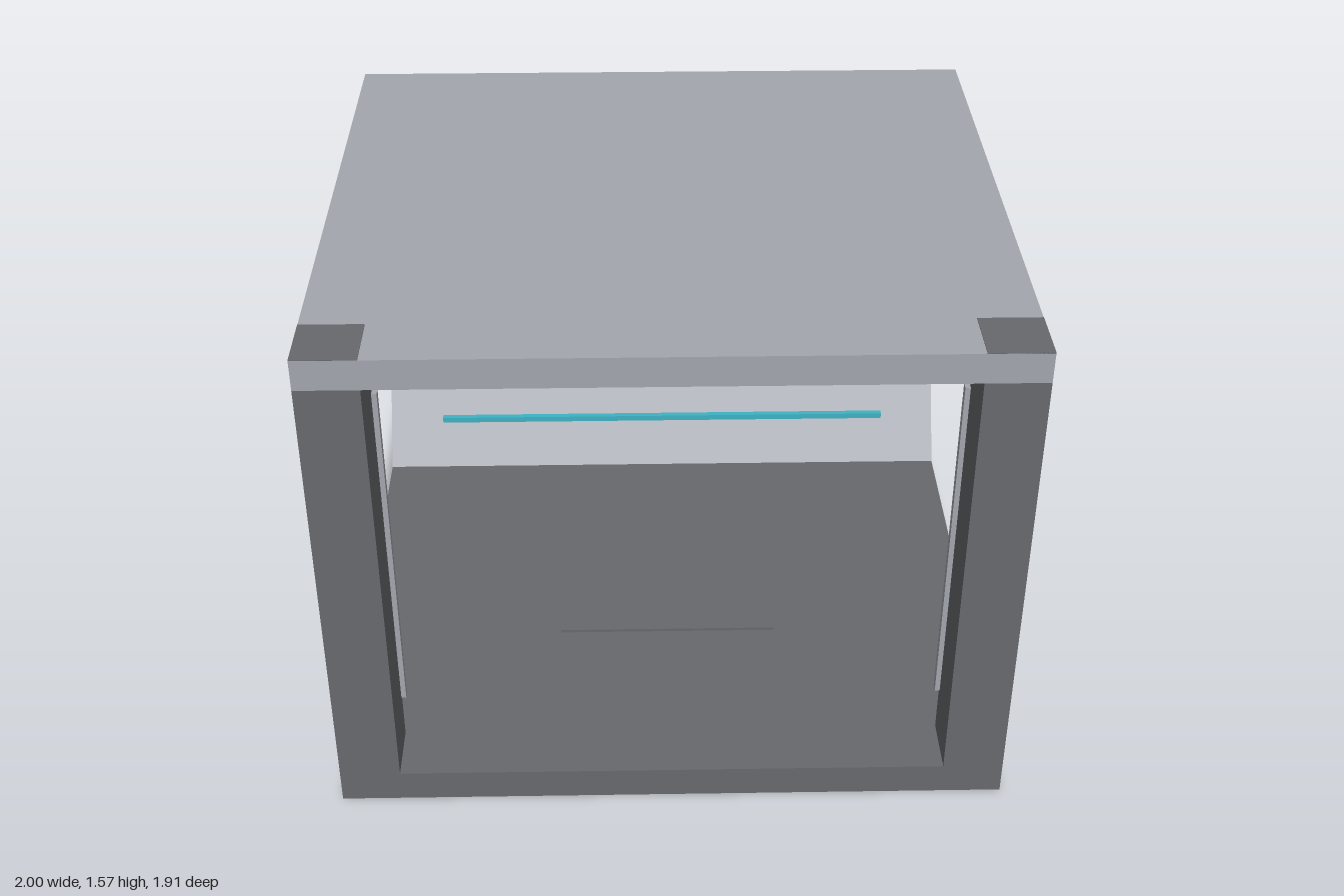
import * as THREE from 'three';

const mat = (name, color) => {
  const m = new THREE.MeshStandardMaterial({ color });
  m.name = name;
  return m;
};

export function createModel() {
  const panel = mat('light grey panel', 0xa3a6ae);
  const frame = mat('dark grey frame', 0x67696d);
  const orange = mat('orange', 0xd6923f);
  const teal = mat('teal', 0x3fb2c4);

  const model = new THREE.Group();
  model.name = 'openShelter';

  const add = (name, geometry, material) => {
    const mesh = new THREE.Mesh(geometry, material);
    mesh.name = name;
    model.add(mesh);
    return mesh;
  };

  // Box given by its lower and upper limits on each axis
  const box = (name, material, [x0, x1], [y0, y1], [z0, z1]) =>
    add(name, new THREE.BoxGeometry(x1 - x0, y1 - y0, z1 - z0), material)
      .position.set((x0 + x1) / 2, (y0 + y1) / 2, (z0 + z1) / 2);

  // Slab with a [z, y] outline, running along x
  const slab = (name, material, points, half) => {
    const shape = new THREE.Shape(points.map(([z, y]) => new THREE.Vector2(-z, y)));
    const g = new THREE.ExtrudeGeometry(shape, { depth: 2 * half, bevelEnabled: false });
    g.translate(0, 0, -half).rotateY(Math.PI / 2);
    add(name, g, material);
  };

  // Floor and roof
  box('floor', frame, [-1, 1], [0, 0.1], [-0.87, 0.957]);
  box('roof', panel, [-1, 1], [1.476, 1.568], [-0.87, 0.957]);

  // Front posts with roof caps and inner edge strips
  for (const s of [1, -1]) {
    const span = (a, b) => (s > 0 ? [a, b] : [-b, -a]);
    const side = s > 0 ? 'left' : 'right';
    box(side + 'Post', frame, span(0.82, 1), [0.1, 1.476], [0.777, 0.957]);
    box(side + 'PostCap', frame, span(0.82, 1), [1.566, 1.57], [0.777, 0.957]);
    box(side + 'EdgeStrip', panel, span(0.805, 0.835), [0.255, 1.355], [0.765, 0.79]);
  }

  // Folded back wall
  slab('upperBackPanel', panel,
    [[-0.871, 1.105], [-0.943, 1.16], [-0.64, 1.545], [-0.568, 1.488]], 0.9995);
  box('middleBackPanel', panel, [-1, 1], [0.455, 1.103], [-0.957, -0.87]);
  slab('lowerBackPanel', panel,
    [[-0.874, 0.452], [-0.948, 0.403], [-0.72, 0.051], [-0.648, 0.1]], 1.0005);

  // Ceiling plate and floor pad
  box('ceilingPlate', panel, [-0.245, 0.245], [1.463, 1.478], [-0.29, 0.21]);
  box('floorPad', frame, [-0.35, 0.35], [0.095, 0.11], [-0.39, 0.31]);

  // Hexagonal bar and slim strip along the back wall
  const bar = new THREE.CylinderGeometry(0.029, 0.029, 1.61, 6, 1, false, Math.PI / 2).toNonIndexed();
  bar.computeVertexNormals();
  bar.rotateZ(Math.PI / 2);
  add('upperBar', bar, orange).position.set(0, 1.183, -0.772);
  box('lowerStrip', teal, [-0.805, 0.805], [0.268, 0.288], [-0.708, -0.688]);

  return model;
}
